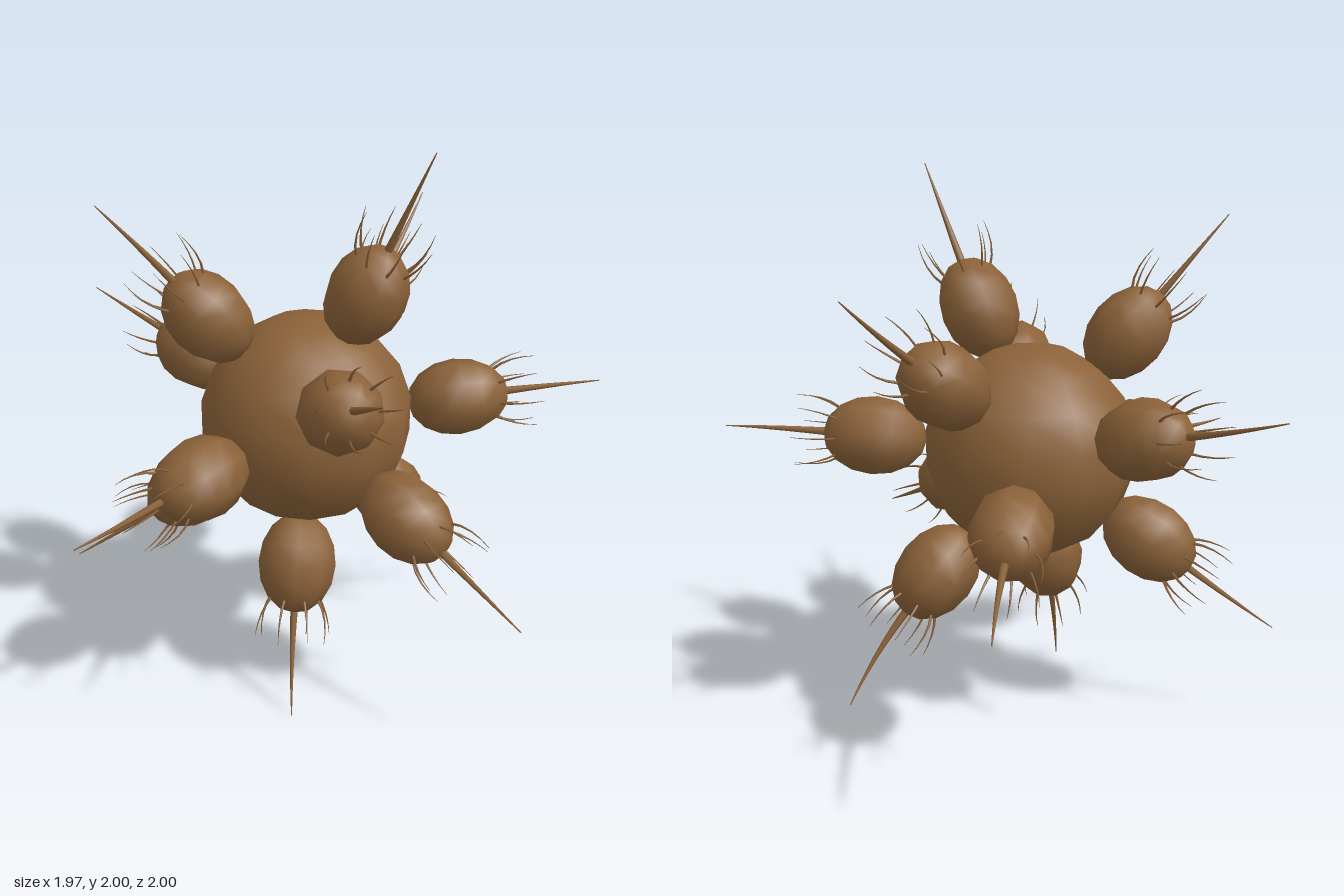
import * as THREE from 'three';

const brown = new THREE.MeshStandardMaterial({ color: 0x8b6239 });
brown.name = 'brown';

// Each stalk: pod centre, then tip of its long spine
const STALKS = [
  [[-0.22, 1.42, 0.18], [-0.48, 1.83, 0.43]],
  [[0.265, 1.5, -0.05], [0.49, 2.0, -0.05]],
  [[0.345, 1.235, 0.33], [0.65, 1.47, 0.73]],
  [[0.515, 1.06, -0.35], [0.96, 1.1, -0.64]],
  [[0.505, 0.785, 0.11], [0.98, 0.56, 0.28]],
  [[0.11, 0.52, 0.155], [0.19, 0.0, 0.36]],
  [[0.235, 0.605, -0.375], [0.36, 0.2, -0.72]],
  [[-0.36, 0.695, 0.11], [-0.78, 0.38, 0.28]],
  [[-0.465, 1.14, -0.15], [-0.99, 1.29, -0.24]],
  [[-0.095, 0.96, 0.47], [-0.23, 0.93, 1.0]],
  [[-0.19, 0.88, -0.525], [-0.44, 0.74, -1.0]],
  [[0.09, 1.32, -0.49], [0.13, 1.65, -0.93]],
];
const CENTRE = new THREE.Vector3(0.045, 1.01, -0.05);
const POD_LENGTH = 0.185, POD_WIDTH = 0.142, HAIRS = 8;

// Tube along a bent path that narrows to a point
function taperedTube(a, b, c, radius, steps, sides) {
  const path = new THREE.QuadraticBezierCurve3(a, b, c);
  const geo = new THREE.TubeGeometry(path, steps, radius, sides);
  const pos = geo.attributes.position;
  const v = new THREE.Vector3();
  for (let i = 0; i < pos.count; i++) {
    const t = Math.floor(i / (sides + 1)) / steps;
    const p = path.getPointAt(t);
    v.fromBufferAttribute(pos, i).sub(p).multiplyScalar(1 - 0.88 * t).add(p);
    pos.setXYZ(i, v.x, v.y, v.z);
  }
  return geo;
}

function addMesh(parent, geometry, name) {
  const mesh = new THREE.Mesh(geometry, brown);
  mesh.name = name;
  parent.add(mesh);
  return mesh;
}

// Pod built along +y in its own frame, with a spine and a ring of hairs
function makeStalk([podAt, tipAt]) {
  const stalk = new THREE.Group();
  stalk.name = 'stalk';
  stalk.position.set(...podAt);
  const axis = stalk.position.clone().sub(CENTRE).normalize();
  stalk.quaternion.setFromUnitVectors(new THREE.Vector3(0, 1, 0), axis);

  const podGeo = new THREE.SphereGeometry(1, 9, 8);
  podGeo.scale(POD_WIDTH, POD_LENGTH, POD_WIDTH);
  addMesh(stalk, podGeo, 'pod');

  // Long spine leaves along the axis and bends to its tip
  const tip = new THREE.Vector3(...tipAt).sub(stalk.position)
    .applyQuaternion(stalk.quaternion.clone().invert());
  addMesh(stalk, taperedTube(
    new THREE.Vector3(0, POD_LENGTH - 0.025, 0),
    new THREE.Vector3(0, POD_LENGTH + 0.17, 0),
    tip, 0.015, 8, 6), 'longSpine');

  // Short hairs curling outward around the pod's end
  for (let i = 0; i < HAIRS; i++) {
    const angle = (i / HAIRS) * Math.PI * 2 + 0.2;
    const at = (r, y) => new THREE.Vector3(Math.cos(angle) * r, y, Math.sin(angle) * r);
    const reach = i % 2 ? 0.02 : 0;
    addMesh(stalk, taperedTube(
      at(0.09, 0.125), at(0.135, 0.185), at(0.145 - reach, 0.265 + reach),
      0.0055, 4, 4), 'shortHair');
  }
  return stalk;
}

export function createModel() {
  const model = new THREE.Group();
  model.name = 'spinyCluster';
  const body = addMesh(model, new THREE.SphereGeometry(0.385, 12, 9), 'body');
  body.position.copy(CENTRE);
  for (const data of STALKS) model.add(makeStalk(data));
  return model;
}
